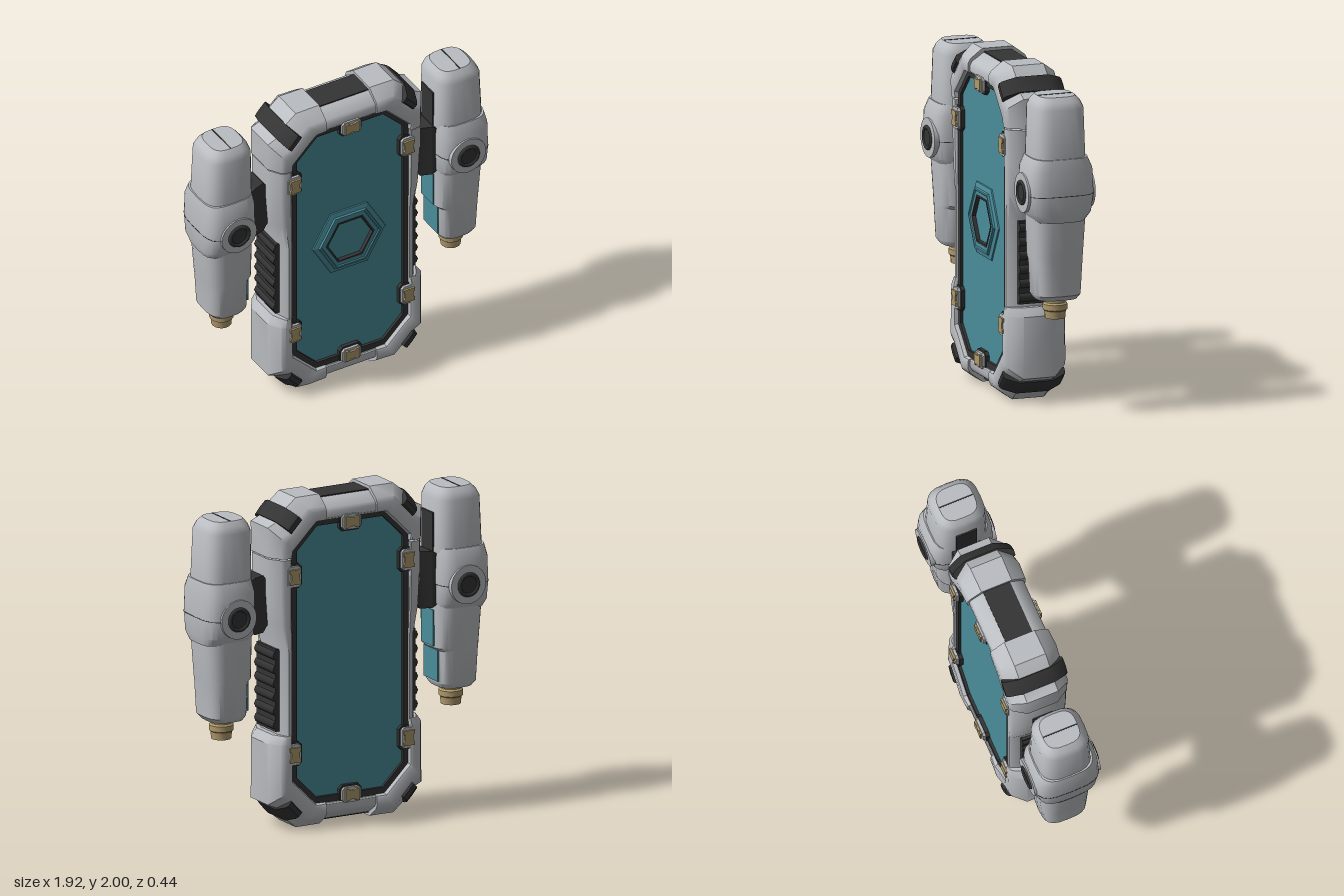
import * as THREE from 'three';
import { toCreasedNormals } from 'three/addons/utils/BufferGeometryUtils.js';

const mat = (name, color) => {
  const m = new THREE.MeshStandardMaterial({ color });
  m.name = name;
  return m;
};

// Closed solid through a list of equal-length rings of [x, y, z]; always wound outward
function loft(rings, crease = 0.6) {
  const tris = [], n = rings[0].length, last = rings[rings.length - 1];
  for (let i = 0; i < rings.length - 1; i++) {
    for (let j = 0; j < n; j++) {
      const k = (j + 1) % n, a = rings[i], b = rings[i + 1];
      tris.push([a[j], b[j], b[k]], [a[j], b[k], a[k]]);
    }
  }
  for (let j = 1; j < n - 1; j++) {
    tris.push([rings[0][0], rings[0][j], rings[0][j + 1]], [last[0], last[j + 1], last[j]]);
  }
  let volume = 0;
  for (const [a, b, c] of tris) {
    volume += a[0] * (b[1] * c[2] - b[2] * c[1]) + a[1] * (b[2] * c[0] - b[0] * c[2]) + a[2] * (b[0] * c[1] - b[1] * c[0]);
  }
  const pos = tris.flatMap(([a, b, c]) => (volume > 0 ? [a, b, c] : [a, c, b])).flat();
  const g = new THREE.BufferGeometry();
  g.setAttribute('position', new THREE.Float32BufferAttribute(pos, 3));
  return toCreasedNormals(g, crease);
}

// Frame cross-section: [inner-to-outer fraction, share of the half depth]
const half = [[0, 0.8], [0.08, 0.97], [0.14, 1], [0.45, 1], [0.62, 0.93], [1, 0.52]];
const profile = [...half, ...half.map(([u, w]) => [u, -w]).reverse()];

// Frame piece from stations [innerX, innerY, outerX, outerY, halfDepth], mirrored by sx and about y = 1 by sy
function framePiece(stations, sx = 1, sy = 1) {
  return loft(stations.map(([ax, ay, bx, by, h]) => profile.map(([u, w]) => [
    sx * (ax + (bx - ax) * u), 1 + sy * (ay + (by - ay) * u - 1), h * w])));
}

// Horizontal rounded-box ring for the pods
function podRing([y, x0, x1, h], sx, e = 0.62) {
  const ring = [];
  for (let i = 0; i < 24; i++) {
    const t = (i / 24) * Math.PI * 2, c = Math.cos(t), s = Math.sin(t);
    ring.push([
      sx * ((x0 + x1) / 2 + (x1 - x0) / 2 * Math.sign(c) * Math.abs(c) ** e), y,
      h * Math.sign(s) * Math.abs(s) ** e]);
  }
  return ring;
}

// Chamfered rectangle outline
function octagon(w, y0, y1, c, Type = THREE.Shape) {
  return new Type([[-w, y0 + c], [-w + c, y0], [w - c, y0], [w, y0 + c], [w, y1 - c], [w - c, y1], [-w + c, y1], [-w, y1 - c]]
    .map(([x, y]) => new THREE.Vector2(x, y)));
}

// Flat extrusion centred on z = 0
function slab(shape, h) {
  return new THREE.ExtrudeGeometry(shape, { depth: 2 * h, bevelEnabled: false }).translate(0, 0, -h);
}

export function createModel() {
  const root = new THREE.Group();
  root.name = 'framedPanelWithPods';
  const shell = mat('light grey shell', 0xbabdc1);
  const dark = mat('dark rubber', 0x343434);
  const teal = mat('teal panel', 0x4a8c9a);
  const gold = mat('brass', 0xb09a6c);
  const add = (name, geo, m, parent = root, x = 0, y = 0, z = 0) => {
    const mesh = new THREE.Mesh(geo, m);
    mesh.name = name;
    mesh.position.set(x, y, z);
    parent.add(mesh);
    return mesh;
  };

  // Panel and its dark lining
  add('panel', slab(octagon(0.37, 0.175, 1.835, 0.14), 0.145), teal);
  const lining = octagon(0.4, 0.14, 1.86, 0.155);
  lining.holes.push(octagon(0.358, 0.182, 1.828, 0.135, THREE.Path));
  add('lining', slab(lining, 0.162), dark);

  // Frame corners, with rubber bumpers on the diagonals
  const corner = (end) => [
    [0.17, 1.85, 0.17, 2.0, 0.185], [0.23, 1.85, 0.33, 2.0, 0.19], [0.265, 1.815, 0.39, 1.95, 0.188],
    [0.345, 1.735, 0.465, 1.865, 0.188], [0.39, 1.69, 0.52, 1.84, 0.19], ...end];
  const topCorner = corner([[0.39, 1.66, 0.52, 1.66, 0.185]]);
  const bottomCorner = corner([[0.39, 1.47, 0.52, 1.47, 0.185], [0.39, 1.42, 0.485, 1.42, 0.175]]);
  const bumper = [[0.335, 1.88, 0.402, 1.95, 0.194], [0.375, 1.84, 0.437, 1.912, 0.196], [0.405, 1.805, 0.47, 1.873, 0.194]];
  const rail = [[-0.18, 1.85, -0.18, 1.975, 0.172], [0.18, 1.85, 0.18, 1.975, 0.172]];
  const side = [
    [0.39, 1.65, 0.515, 1.65, 0.178], [0.39, 1.45, 0.515, 1.45, 0.178], [0.39, 1.25, 0.5, 1.25, 0.175],
    [0.39, 1.09, 0.455, 1.09, 0.172], [0.39, 0.56, 0.455, 0.56, 0.172]];
  for (const sy of [1, -1]) {
    const end = sy > 0 ? 'top' : 'bottom';
    for (const sx of [1, -1]) {
      add(end + 'Corner', framePiece(sy > 0 ? topCorner : bottomCorner, sx, sy), shell);
      add(end + 'Bumper', framePiece(bumper, sx, sy), dark);
    }
    add(end + 'Rail', framePiece(rail, 1, sy), shell);
    add(end + 'Pad', new THREE.BoxGeometry(0.35, 0.05, 0.17), dark, root, 0, 1 + sy * 0.957);
  }

  // Side rails and ribbed grips
  for (const sx of [1, -1]) {
    add('sideRail', framePiece(side, sx), shell);
    add('grip', new THREE.BoxGeometry(0.05, 0.5, 0.22), dark, root, sx * 0.45, 0.85);
    for (let i = 0; i < 6; i++) {
      const rib = new THREE.CylinderGeometry(0.032, 0.032, 0.22, 8).rotateX(Math.PI / 2);
      add('gripRib', rib, dark, root, sx * 0.459, 0.64 + i * 0.084);
    }
  }

  // Brass clips in brackets around the opening, reaching both faces
  const waist = new THREE.Shape([[-0.036, -0.045], [0.036, -0.045], [0.036, -0.025], [0.027, -0.015], [0.027, 0.015], [0.036, 0.025],
    [0.036, 0.045], [-0.036, 0.045], [-0.036, 0.025], [-0.027, 0.015], [-0.027, -0.015], [-0.036, -0.025]].map((p) => new THREE.Vector2(...p)));
  for (const [x, y, turn] of [[0, 1.83, 1], [0, 0.175, 1], [0.385, 1.545, 0], [-0.385, 1.545, 0], [0.385, 0.465, 0], [-0.385, 0.465, 0]]) {
    const clip = new THREE.Group();
    clip.name = 'clip';
    clip.position.set(x, y, 0);
    clip.rotation.z = turn * Math.PI / 2;
    add('clipSeal', slab(octagon(0.057, -0.075, 0.075, 0.022), 0.168), dark, clip);
    add('clipBracket', slab(octagon(0.046, -0.063, 0.063, 0.016), 0.184), shell, clip);
    add('clipPin', slab(waist, 0.196), gold, clip);
    root.add(clip);
  }

  // Raised hexagon on the front of the panel
  const hexagon = (pts) => toCreasedNormals(
    new THREE.LatheGeometry(pts.map((p) => new THREE.Vector2(...p)), 6, Math.PI / 6).rotateX(Math.PI / 2), 0.1);
  add('hexagonRing', hexagon([[0.248, 0.14], [0.245, 0.153], [0.212, 0.16], [0.208, 0.172], [0.196, 0.172],
    [0.19, 0.166], [0.165, 0.166], [0.15, 0.14]]), teal, root, 0, 1.005);
  add('hexagonSeam', hexagon([[0.165, 0.14], [0.163, 0.168], [0.151, 0.168], [0.149, 0.14]]), dark, root, 0, 1.005);

  // Side pods
  const body = [[0.7, 0.67, 0.88, 0.12], [0.73, 0.65, 0.905, 0.14], [0.93, 0.645, 0.915, 0.15], [0.95, 0.622, 0.918, 0.152],
    [1.2, 0.62, 0.935, 0.165], [1.5, 0.62, 0.94, 0.165], [1.85, 0.625, 0.925, 0.155], [1.89, 0.64, 0.905, 0.138], [1.92, 0.665, 0.875, 0.11]];
  const sleeve = [[1.18, 0.635, 0.945, 0.15], [1.23, 0.622, 0.958, 0.19], [1.34, 0.62, 0.96, 0.208], [1.49, 0.62, 0.958, 0.2], [1.56, 0.63, 0.945, 0.17]];
  const nozzle = [[0.03, 0.64], [0.035, 0.58], [0.06, 0.58], [0.064, 0.625], [0.073, 0.632], [0.073, 0.665], [0.062, 0.675], [0.062, 0.71]]
    .map((p) => new THREE.Vector2(...p));
  for (const sx of [1, -1]) {
    const pod = new THREE.Group();
    pod.name = sx > 0 ? 'leftPod' : 'rightPod';
    root.add(pod);
    const cx = sx * 0.777;
    add('podBody', loft(body.map((r) => podRing(r, sx))), shell, pod);
    add('podSleeve', loft(sleeve.map((r) => podRing(r, sx, 0.55))), shell, pod);
    add('sleeveSeam', loft([[1.338, 0.619, 0.961, 0.209], [1.342, 0.619, 0.961, 0.209]].map((r) => podRing(r, sx, 0.55))), dark, pod);
    add('topSlit', new THREE.BoxGeometry(0.008, 0.03, 0.215), dark, pod, cx, 1.907);

    // Pivot boss and sockets, front and back
    add('pivotBoss', new THREE.CylinderGeometry(0.118, 0.118, 0.42, 24).rotateX(Math.PI / 2), shell, pod, cx, 1.345);
    for (const sz of [1, -1]) {
      add('pivotSocket', new THREE.CylinderGeometry(0.058, 0.058, 0.01, 20).rotateX(Math.PI / 2), dark, pod, cx, 1.345, sz * 0.208);
      add('socketRing', new THREE.TorusGeometry(0.062, 0.013, 8, 24), dark, pod, cx, 1.345, sz * 0.209);
    }

    // Inlays on the inner face
    add('innerSlot', new THREE.BoxGeometry(0.009, 0.42, 0.13), dark, pod, sx * 0.621, 1.56);
    add('innerInlay', new THREE.BoxGeometry(0.009, 0.22, 0.14), teal, pod, sx * 0.62, 1.07);
    add('lowerInlay', new THREE.BoxGeometry(0.009, 0.19, 0.16), teal, pod, sx * 0.645, 0.84);

    // Nozzle with dark bore
    add('nozzle', toCreasedNormals(new THREE.LatheGeometry(nozzle, 16), 0.5), gold, pod, cx);
    add('nozzleBore', new THREE.CylinderGeometry(0.036, 0.036, 0.02, 16), dark, pod, cx, 0.63);

    // Mount joining the pod to the frame
    const mount = [[0.48, 1.27, 1.48, 0.06], [0.53, 1.2, 1.545, 0.065], [0.6, 1.2, 1.545, 0.09], [0.64, 1.22, 1.52, 0.09]];
    add('mount', loft(mount.map(([x, y0, y1, h]) => [[y0, -h], [y0, h], [y1, h], [y1, -h]].map(([y, z]) => [sx * x, y, z])), 0.3), dark, pod);
  }
  return root;
}
